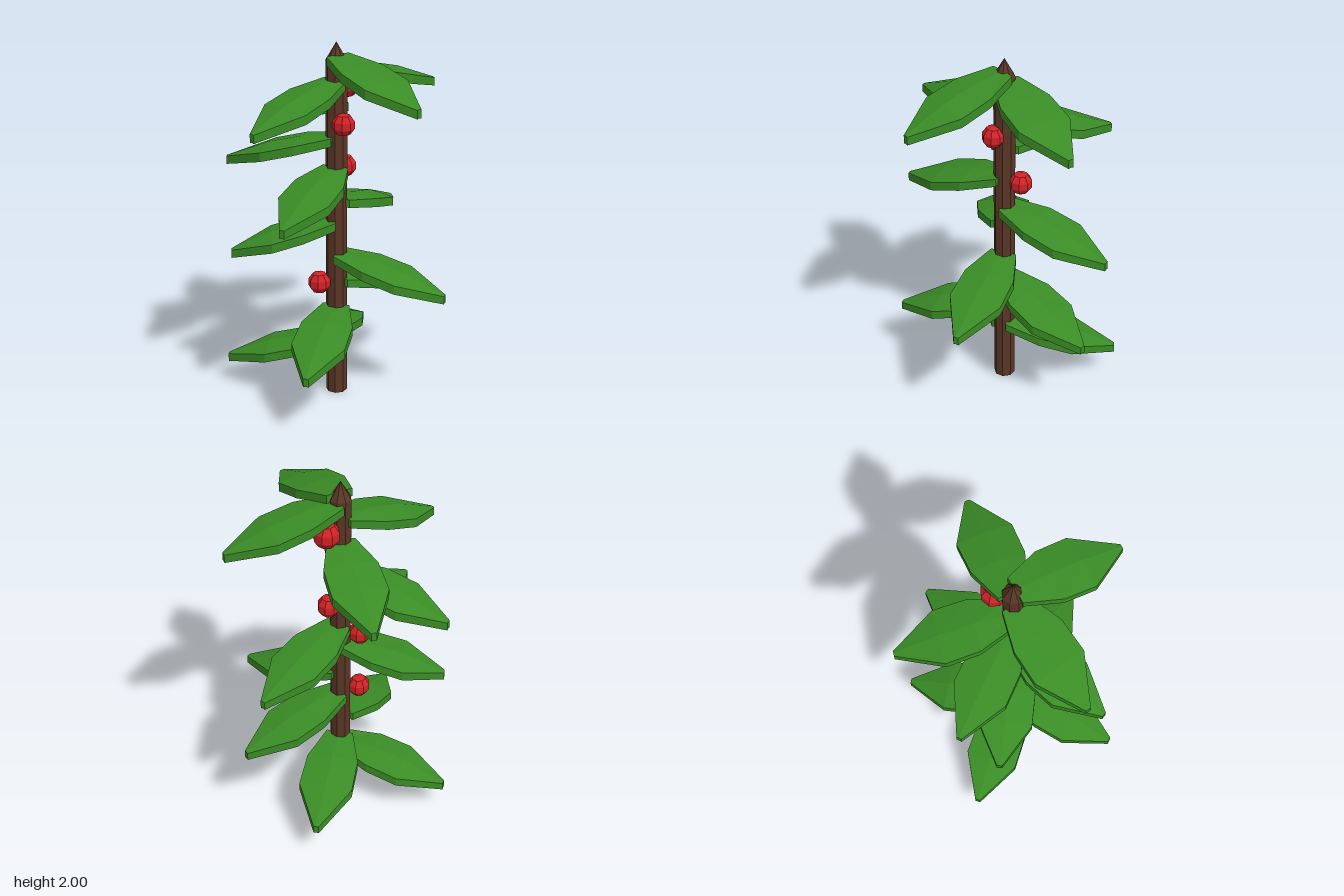
import * as THREE from 'three';

const X0 = -0.01, Z0 = 0.01; // stem axis

// Leaf cross-sections: distance, half width, ridge height, edge drop, thickness
const SECTIONS = [
  [0.01, 0.075, 0.0, 0.004, 0.045],
  [0.2, 0.143, -0.025, 0.018, 0.05],
  [0.38, 0.147, -0.07, 0.02, 0.05],
  [0.615, 0.014, -0.165, 0.003, 0.045],
];

// Tip position of each leaf seen from above, and the height of its base
const LEAVES = [
  [0.575, 0.21, 1.935], [0.275, -0.55, 1.89], [-0.145, 0.61, 1.805],
  [-0.525, -0.34, 1.665], [-0.605, 0.165, 1.5], [0.02, 0.61, 1.33],
  [-0.02, -0.615, 1.145], [-0.485, 0.325, 1.03], [0.605, -0.08, 0.84],
  [0.15, -0.585, 0.69], [0.15, 0.605, 0.53], [-0.31, -0.54, 0.39], [-0.585, 0.235, 0.345],
];

// Berry centre and radius
const BERRIES = [
  [-0.02, 1.745, -0.11, 0.073], [0.05, 1.57, 0.04, 0.063], [-0.015, 1.3, -0.09, 0.063],
  [-0.105, 1.09, 0.06, 0.063], [-0.06, 0.68, 0.11, 0.063],
];

// Split faces so every facet has its own flat normal
function faceted(geometry) {
  const g = geometry.index ? geometry.toNonIndexed() : geometry;
  g.computeVertexNormals();
  return g;
}

// Thick drooping leaf pointing along +z, skinned through hexagonal sections
function leafGeometry() {
  const positions = [], index = [], n = 6;
  for (const [z, w, y, drop, t] of SECTIONS) {
    positions.push(
      -w, y - drop, z, 0, y, z, w, y - drop, z,
      w, y - drop - t, z, 0, y - t, z, -w, y - drop - t, z);
  }
  for (let s = 0; s < SECTIONS.length - 1; s++) {
    for (let i = 0; i < n; i++) {
      const a = s * n + i, b = s * n + (i + 1) % n;
      index.push(a, a + n, b + n, a, b + n, b);
    }
  }
  // End caps, split along the midrib
  const e = (SECTIONS.length - 1) * n;
  for (const [a, b, c] of [[0, 1, 4], [0, 4, 5], [1, 2, 3], [1, 3, 4]]) {
    index.push(a, b, c, e + a, e + c, e + b);
  }
  const g = new THREE.BufferGeometry();
  g.setAttribute('position', new THREE.Float32BufferAttribute(positions, 3));
  g.setIndex(index);
  return faceted(g);
}

export function createModel() {
  const bark = new THREE.MeshStandardMaterial({ color: 0x5a3626 });
  bark.name = 'bark brown';
  const green = new THREE.MeshStandardMaterial({ color: 0x3a8c26 });
  green.name = 'leaf green';
  const red = new THREE.MeshStandardMaterial({ color: 0xd02226 });
  red.name = 'berry red';

  const model = new THREE.Group();
  model.name = 'berrySprig';
  const add = (name, geometry, material, x, y, z) => {
    const mesh = new THREE.Mesh(geometry, material);
    mesh.name = name;
    mesh.position.set(x, y, z);
    model.add(mesh);
    return mesh;
  };

  // Eight-sided stem with a pointed tip
  const turn = Math.PI / 8;
  add('stem', faceted(new THREE.CylinderGeometry(0.058, 0.058, 1.9, 8)), bark, X0, 0.95, Z0).rotation.y = turn;
  add('stemTip', faceted(new THREE.ConeGeometry(0.058, 0.1, 8)), bark, X0, 1.95, Z0).rotation.y = turn;

  // Leaves spiralling up the stem
  const leaf = leafGeometry();
  const reach = SECTIONS[SECTIONS.length - 1][0];
  LEAVES.forEach(([x, z, y], i) => {
    const dx = x - X0, dz = z - Z0;
    const mesh = add(`leaf${i + 1}`, leaf, green, X0, y, Z0);
    mesh.rotation.y = Math.atan2(dx, dz);
    mesh.scale.z = Math.hypot(dx, dz) / reach;
  });

  // Faceted berries tucked against the stem
  const berry = faceted(new THREE.SphereGeometry(1, 8, 5, turn));
  BERRIES.forEach(([x, y, z, r], i) => {
    add(`berry${i + 1}`, berry, red, x, y, z).scale.setScalar(r);
  });

  return model;
}
